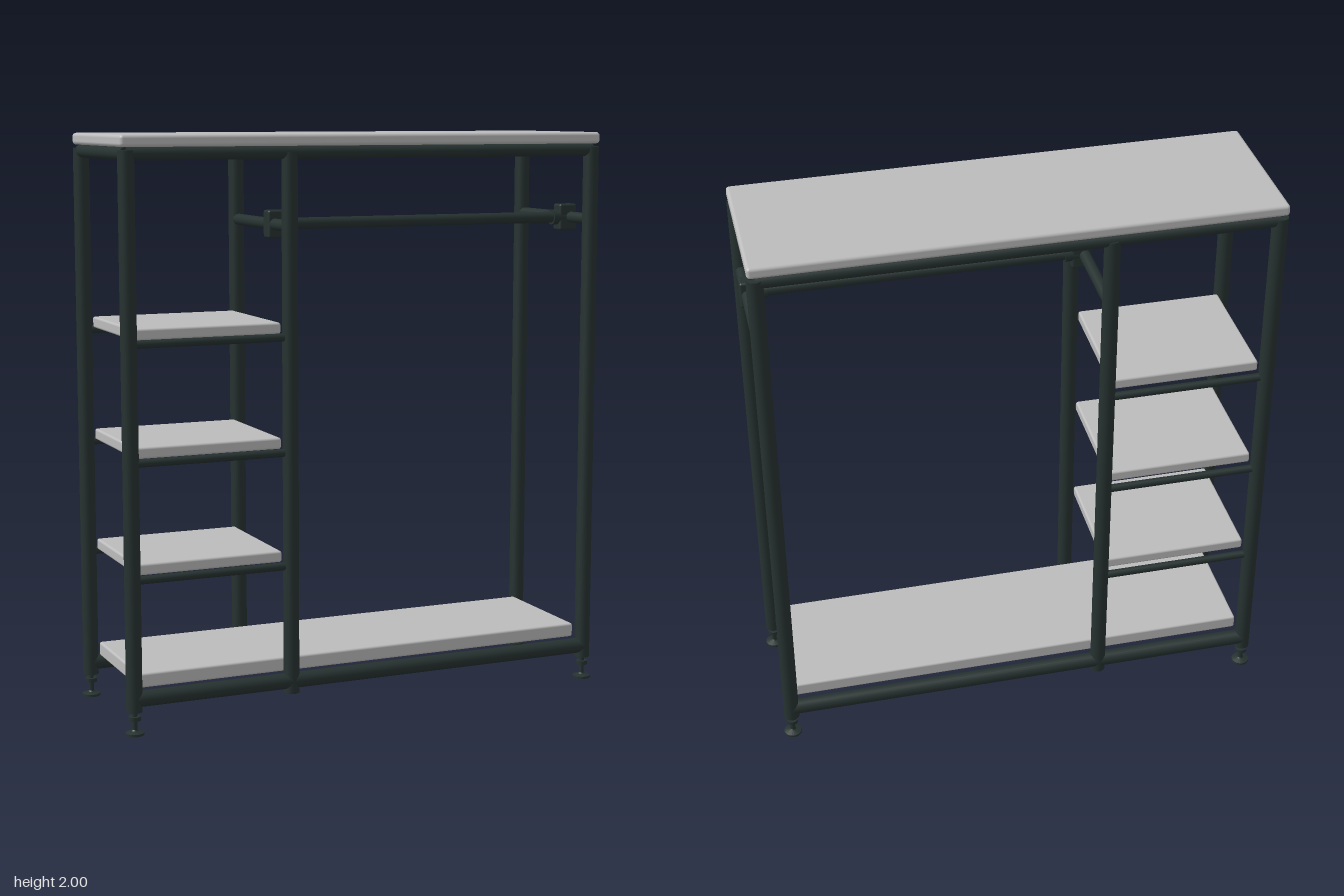
import * as THREE from 'three';
import { RoundedBoxGeometry } from 'three/addons/geometries/RoundedBoxGeometry.js';

export function createModel() {
  const model = new THREE.Group();
  model.name = 'wardrobeRack';

  const steel = new THREE.MeshStandardMaterial({ color: 0x263230 });
  steel.name = 'dark steel';
  const board = new THREE.MeshStandardMaterial({ color: 0xbcbcbc });
  board.name = 'light grey board';

  const POST_X = 0.865, MID_X = -0.295, POST_Z = 0.253, R = 0.0275;

  function add(name, geometry, material, x, y, z) {
    const mesh = new THREE.Mesh(geometry, material);
    mesh.name = name;
    mesh.position.set(x, y, z);
    model.add(mesh);
    return mesh;
  }

  // Round tube between two points
  function tube(name, a, b, radius) {
    const start = new THREE.Vector3(...a), end = new THREE.Vector3(...b);
    const dir = end.clone().sub(start);
    const mid = start.clone().add(end).multiplyScalar(0.5);
    const mesh = add(name, new THREE.CylinderGeometry(radius, radius, dir.length(), 24), steel, mid.x, mid.y, mid.z);
    mesh.quaternion.setFromUnitVectors(new THREE.Vector3(0, 1, 0), dir.normalize());
  }

  // Board spanning x0..x1 and y0..y1
  function panel(name, x0, x1, y0, y1, depth, radius) {
    add(name, new RoundedBoxGeometry(x1 - x0, y1 - y0, depth, 3, radius), board, (x0 + x1) / 2, (y0 + y1) / 2, 0);
  }

  // Levelling foot: disc, threaded stem and nut
  const footProfile = [
    [0, 0], [0.032, 0], [0.032, 0.008], [0.012, 0.014], [0.009, 0.018],
    [0.009, 0.05], [0.021, 0.05], [0.021, 0.064], [0.009, 0.064], [0.009, 0.085],
  ].map(([x, y]) => new THREE.Vector2(x, y));

  const shelfBottoms = [0.54, 0.935, 1.33];

  for (const z of [POST_Z, -POST_Z]) {
    // Posts and feet
    for (const x of [-POST_X, POST_X]) {
      tube('cornerPost', [x, 0.08, z], [x, 1.95, z], R);
      const foot = add('levellingFoot', new THREE.LatheGeometry(footProfile, 20), steel, x, 0, z);
      foot.geometry = foot.geometry.toNonIndexed();
      foot.geometry.computeVertexNormals();
    }
    tube('middlePost', [MID_X, 0.08, z], [MID_X, 1.94, z], R);

    // Long rails at the top and bottom
    tube('topRail', [-POST_X, 1.938, z], [POST_X, 1.938, z], 0.022);
    tube('bottomRail', [-POST_X, 0.122, z], [POST_X, 0.122, z], R);

    // Thin rails carrying the small shelves
    for (const y of shelfBottoms) {
      tube('shelfRail', [-POST_X, y - 0.011, z], [MID_X, y - 0.011, z], 0.014);
    }
  }

  // Short rails across the top ends
  for (const x of [-POST_X, POST_X]) {
    tube('topEndRail', [x, 1.938, -POST_Z], [x, 1.938, POST_Z], 0.022);
  }

  // Clothes rod, its cross bars and clamps
  const ROD_Y = 1.692, ROD_Z = 0.095;
  tube('clothesRod', [MID_X, ROD_Y, ROD_Z], [POST_X, ROD_Y, ROD_Z], 0.02);
  for (const [x, inward] of [[MID_X, 1], [POST_X, -1]]) {
    tube('crossBar', [x, ROD_Y, -POST_Z], [x, ROD_Y, POST_Z], 0.02);
    add('rodClamp', new RoundedBoxGeometry(0.07, 0.096, 0.052, 2, 0.008), steel, x + inward * 0.011, ROD_Y, ROD_Z);
    tube('rodCollar', [x, ROD_Y, ROD_Z], [x + inward * 0.068, ROD_Y, ROD_Z], 0.027);
  }

  // Boards
  panel('topBoard', -0.89, 0.89, 1.96, 2.0, 0.552, 0.012);
  panel('bottomBoard', -0.84, 0.84, 0.15, 0.2, 0.455, 0.008);
  for (const y of shelfBottoms) {
    panel('smallShelf', -0.842, -0.318, y - 0.002, y + 0.037, 0.455, 0.008);
  }

  return model;
}
